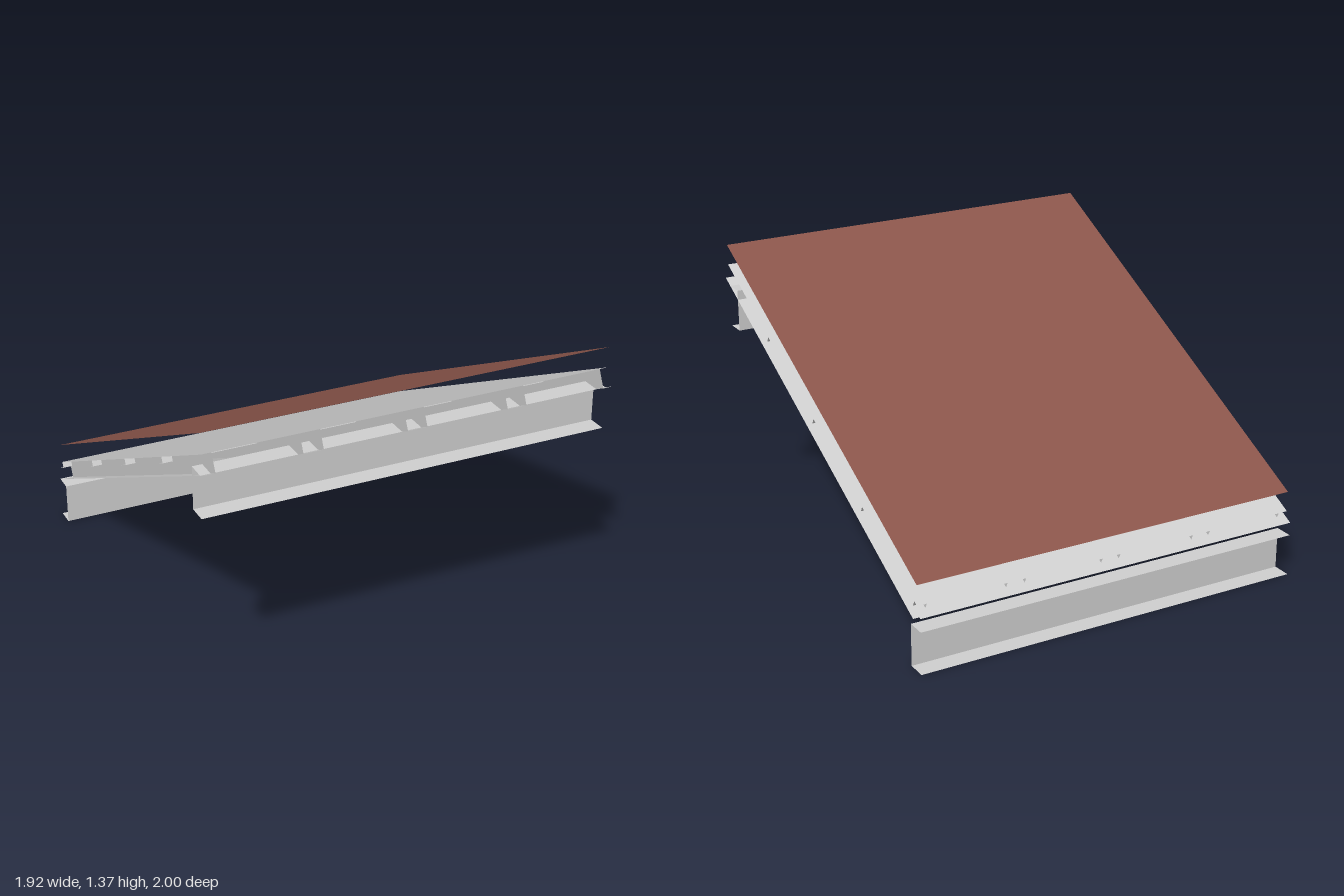
import * as THREE from 'three';

const HALF_W = 0.96;        // half width along x
const HALF_L = 1.079;       // half length along the slope
const BAY = 0.48;           // rafter spacing
const DEPTH = 0.086;        // rafter depth
const LIP = 0.046;          // rafter flange width

export function createModel() {
  const root = new THREE.Group();
  root.name = 'roofSection';

  const steel = new THREE.MeshStandardMaterial({ color: 0xd0d0d0, side: THREE.DoubleSide });
  steel.name = 'light grey steel';
  const brick = new THREE.MeshStandardMaterial({ color: 0x8c564b, side: THREE.DoubleSide });
  brick.name = 'brown roofing';

  // Thin sheet facing up ('y'), forward ('z') or sideways ('x'), given by its centre and size
  function sheet(parent, name, facing, w, h, x, y, z, material = steel) {
    const geo = new THREE.PlaneGeometry(w, h);
    if (facing === 'y') geo.rotateX(-Math.PI / 2);
    if (facing === 'x') geo.rotateY(Math.PI / 2);
    const mesh = new THREE.Mesh(geo, material);
    mesh.name = name;
    mesh.position.set(x, y, z);
    parent.add(mesh);
    return mesh;
  }

  // Sloped frame: local z runs up the slope, local y is square to it
  const slope = new THREE.Group();
  slope.name = 'slopedRoof';
  slope.position.set(0, 0.792, -0.003);
  slope.rotation.x = -Math.atan(0.5);
  root.add(slope);

  // Decking on the rafters
  sheet(slope, 'decking', 'y', HALF_W * 2, HALF_L * 2, 0, 0, 0);

  // Rafters: bays meet back to back, the outermost ones are open channels
  for (let i = -2; i <= 2; i++) {
    const rafter = new THREE.Group();
    rafter.name = 'rafter';
    slope.add(rafter);
    const cx = i * BAY;
    for (const side of [-1, 1]) {
      const webX = cx + side * LIP;
      if (Math.abs(webX) > HALF_W) continue;
      sheet(rafter, 'rafterWeb', 'x', HALF_L * 2, DEPTH, webX, -DEPTH / 2, 0);
      sheet(rafter, 'rafterFlange', 'y', LIP, HALF_L * 2, cx + side * LIP / 2, -DEPTH, 0);
    }
  }

  // Purlins: a shallow web under the decking with a lip pointing down the slope
  const purlinDepth = 0.029, purlinLip = 0.074;
  for (let k = 0; k < 4; k++) {
    const purlin = new THREE.Group();
    purlin.name = 'purlin';
    purlin.position.z = -HALF_L + 0.027 + k * HALF_L / 2;
    slope.add(purlin);
    sheet(purlin, 'purlinWeb', 'z', HALF_W * 2, purlinDepth, 0, -purlinDepth / 2, 0);
    sheet(purlin, 'purlinLip', 'y', HALF_W * 2, purlinLip, 0, -purlinDepth, -purlinLip / 2);
  }

  // Roofing panel, raised straight above the decking
  const panel = sheet(root, 'roofingPanel', 'y', HALF_W * 2, HALF_L * 2, 0, 0.889, -0.003, brick);
  panel.rotation.x = slope.rotation.x;

  // Bearing channels at the eave and the ridge, opening outwards
  const flange = 0.091, height = 0.2;
  for (const [name, webZ, baseY, dir] of [['eaveBeam', -0.908, 0, -1], ['ridgeBeam', 0.858, 0.971, 1]]) {
    const beam = new THREE.Group();
    beam.name = name;
    beam.position.set(0, baseY, webZ);
    root.add(beam);
    sheet(beam, 'beamWeb', 'z', HALF_W * 2, height, 0, height / 2, 0);
    for (const y of [0, height]) {
      sheet(beam, 'beamFlange', 'y', HALF_W * 2, flange, 0, y, dir * flange / 2);
    }
  }

  return root;
}
